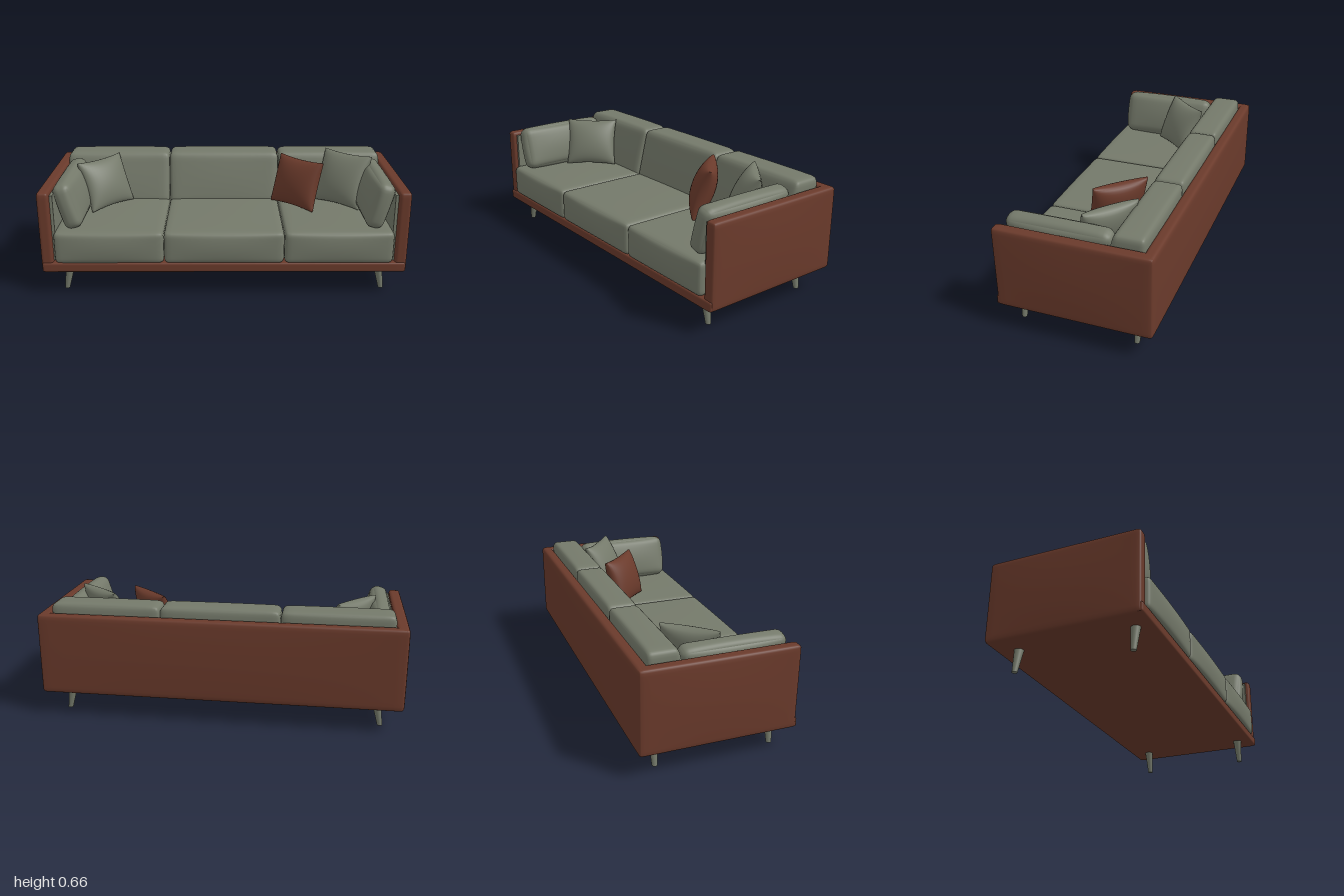
import * as THREE from 'three';
import { mergeVertices } from 'three/addons/utils/BufferGeometryUtils.js';

const green = new THREE.MeshStandardMaterial({ name: 'sage fabric', color: 0x74796a });
const brown = new THREE.MeshStandardMaterial({ name: 'rust fabric', color: 0x6a3a2b });

// Moves every vertex by a rule, then welds and smooths the surface
function reshape(geo, rule) {
  const p = geo.attributes.position;
  const v = new THREE.Vector3();
  for (let i = 0; i < p.count; i++) {
    rule(v.fromBufferAttribute(p, i));
    p.setXYZ(i, v.x, v.y, v.z);
  }
  geo.deleteAttribute('normal');
  geo.deleteAttribute('uv');
  const welded = mergeVertices(geo, 1e-5);
  welded.computeVertexNormals();
  return welded;
}

// Upholstered block: rounded edges, faces swelling by puff, front leaning back by taper
function padding(size, r, puff = [0, 0, 0], taper = 0) {
  const half = size.map((s) => s / 2);
  return reshape(new THREE.BoxGeometry(2, 2, 2, 18, 18, 18), (v) => {
    const u = v.toArray().map((t) => Math.sin((t * Math.PI) / 2));
    const full = u.map((t, i) => t * half[i]);
    const core = full.map((t, i) => THREE.MathUtils.clamp(t, r - half[i], half[i] - r));
    const off = new THREE.Vector3(...full.map((t, i) => t - core[i]));
    if (off.length() > 1e-9) {
      const reach = Math.max(Math.abs(off.x), Math.abs(off.y), Math.abs(off.z));
      off.setLength(reach);
    }
    const dome = (i) => (1 - u[(i + 1) % 3] ** 2) * (1 - u[(i + 2) % 3] ** 2);
    const q = off.toArray().map((t, i) => core[i] + t + puff[i] * u[i] * dome(i));
    q[2] -= taper * (q[2] / size[2] + 0.5) * (q[1] / size[1] + 0.5);
    v.set(...q);
  });
}

// Scatter pillow: full in the middle, thin at the seam, with pointed corners
function pillowGeometry(w, h, thick) {
  return reshape(new THREE.BoxGeometry(2, 2, 2, 20, 20, 1), (v) => {
    const x = Math.sin((v.x * Math.PI) / 2);
    const y = Math.sin((v.y * Math.PI) / 2);
    const belly = Math.pow(Math.max(0, (1 - x * x) * (1 - y * y)), 0.45);
    v.set(
      (x * w / 2) * (1 - 0.07 * (1 - y * y)),
      (y * h / 2) * (1 - 0.07 * (1 - x * x)),
      Math.sign(v.z) * (0.004 + (thick / 2) * belly)
    );
  });
}

export function createModel() {
  const model = new THREE.Group();
  model.name = 'sofa';

  const add = (name, geo, mat, x, y, z) => {
    const mesh = new THREE.Mesh(geo, mat);
    mesh.name = name;
    mesh.position.set(x, y, z);
    model.add(mesh);
    return mesh;
  };
  // Padded block given by its lowest and highest corners
  const block = (name, mat, a, b, r, puff, taper) =>
    add(name, padding(a.map((t, i) => b[i] - t), r, puff, taper), mat,
      ...a.map((t, i) => (t + b[i]) / 2));

  // Outer frame
  block('base', brown, [-0.985, 0.13, -0.418], [0.985, 0.185, 0.41], 0.012);
  block('backPanel', brown, [-0.985, 0.13, -0.422], [0.985, 0.58, -0.36], 0.02, [0, 0, 0.008]);
  for (const s of [-1, 1]) {
    const side = s > 0 ? 'left' : 'right';
    const xs = [s * 0.925, s * 0.99].sort((a, b) => a - b);
    block(side + 'Arm', brown, [xs[0], 0.13, -0.42], [xs[1], 0.58, 0.402], 0.018, [0.009, 0, 0]);
    add(side + 'ArmLining', new THREE.BoxGeometry(0.016, 0.37, 0.74), green, s * 0.915, 0.375, 0.01);

    // Long cushion leaning on the arm
    const armCushion = add(side + 'ArmCushion',
      padding([0.1, 0.255, 0.55], 0.04, [0.018, 0.006, 0.01]), green, s * 0.838, 0.487, 0.095);
    armCushion.rotation.z = -s * 0.27;

    // Splayed, tapered legs
    for (const [end, z] of [['Front', 0.32], ['Back', -0.304]]) {
      const legGeo = new THREE.CylinderGeometry(0.025, 0.014, 0.14, 24);
      const leg = add(side + end + 'Leg', legGeo, green, s * 0.862, 0.07, z);
      // Shear sideways so that the foot stays flat on the floor
      const p = legGeo.attributes.position;
      for (let i = 0; i < p.count; i++) p.setX(i, p.getX(i) - s * 0.19 * p.getY(i));
      legGeo.computeVertexNormals();
      leg.geometry = legGeo;
    }
  }

  // Three seat cushions and three back cushions
  const seams = [-0.915, -0.325, 0.325, 0.915];
  ['right', 'middle', 'left'].forEach((place, i) => {
    const x0 = seams[i] + 0.001;
    const x1 = seams[i + 1] - 0.001;
    block(place + 'SeatCushion', green, [x0, 0.18, -0.35], [x1, 0.362, 0.415],
      0.028, [0, 0.006, 0.014]);
    block(place + 'BackCushion', green, [x0 - (i === 0 ? 0.012 : 0), 0.33, -0.362],
      [x1 + (i === 2 ? 0.012 : 0), 0.632, -0.125], 0.035, [0, 0.004, 0.008], 0.075);
  });

  // Scatter pillows: [name, material, position, yaw, tilt back, height]
  const pillows = [
    ['rightPillow', green, [-0.685, 0.502, -0.035], 0.85, -0.4, 0.29],
    ['rustPillow', brown, [0.422, 0.502, -0.03], -0.78, -0.3, 0.285],
    ['leftPillow', green, [0.69, 0.512, -0.07], -0.7, -0.4, 0.315],
  ];
  for (const [name, mat, pos, yaw, tilt, h] of pillows) {
    const pillow = add(name, pillowGeometry(0.31, h, 0.125), mat, ...pos);
    pillow.rotation.set(tilt, yaw, 0, 'YXZ');
  }

  return model;
}
